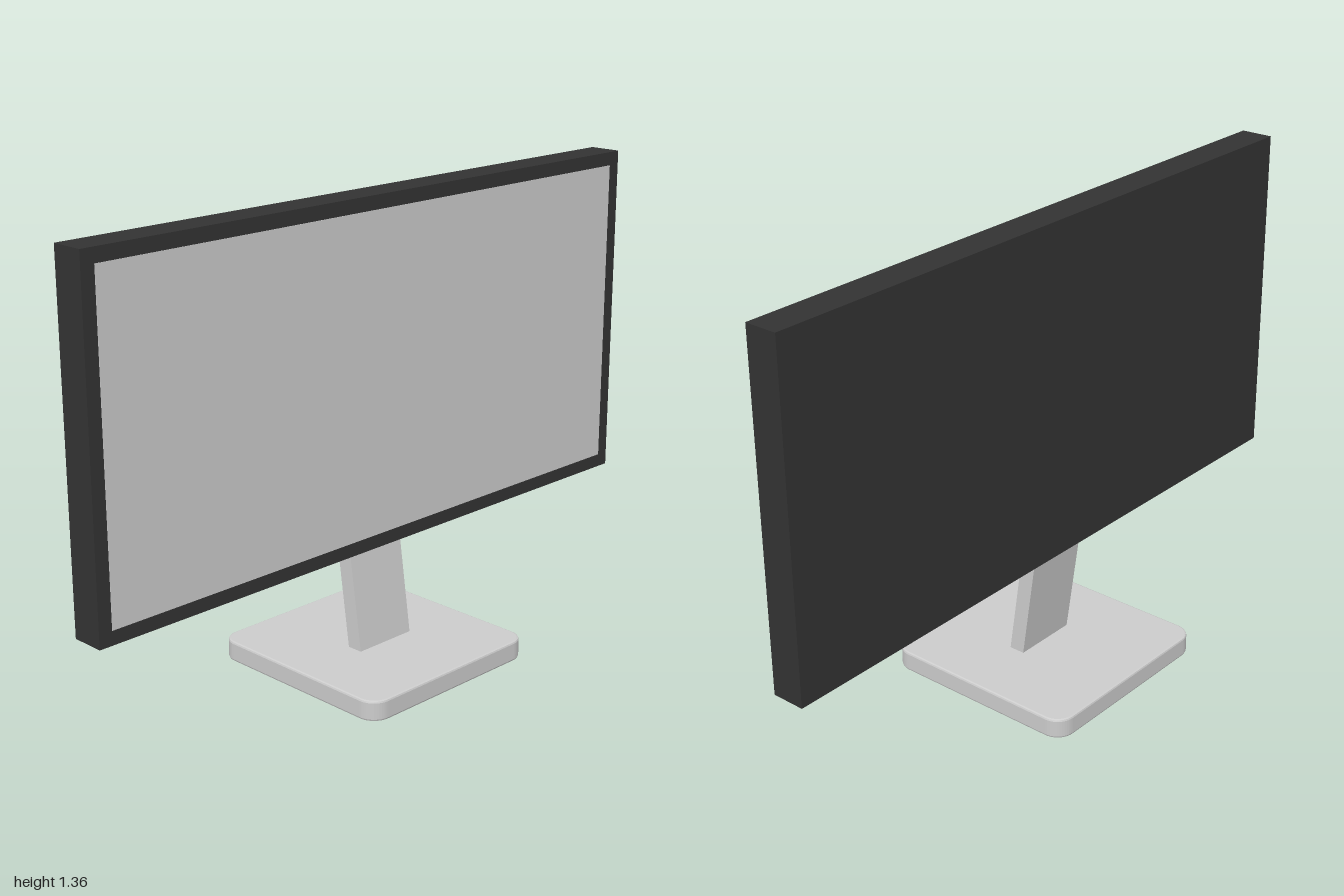
import * as THREE from 'three';

const grey = new THREE.MeshStandardMaterial({ color: 0xcccccc });
const dark = new THREE.MeshStandardMaterial({ color: 0x333333 });

function addMesh(parent, name, geometry, material) {
  const mesh = new THREE.Mesh(geometry, material);
  mesh.name = name;
  parent.add(mesh);
  return mesh;
}

// Rounded square centred on the origin
function roundedSquare(half, r) {
  const s = new THREE.Shape();
  const c = half - r;
  s.absarc(c, c, r, 0, Math.PI / 2);
  s.absarc(-c, c, r, Math.PI / 2, Math.PI);
  s.absarc(-c, -c, r, Math.PI, Math.PI * 1.5);
  s.absarc(c, -c, r, Math.PI * 1.5, Math.PI * 2);
  s.closePath();
  return s;
}

// Horizontal rounded slab from y0 to y1 with softened rims
function slab(half, radius, y0, y1, bevel) {
  const geometry = new THREE.ExtrudeGeometry(roundedSquare(half - bevel, radius - bevel), {
    depth: y1 - y0 - 2 * bevel,
    bevelEnabled: bevel > 0,
    bevelSize: bevel,
    bevelThickness: bevel,
    bevelSegments: 2,
    curveSegments: 6,
  });
  return geometry.rotateX(-Math.PI / 2).translate(0, y0 + bevel, 0);
}

export function createModel() {
  const group = new THREE.Group();
  group.name = 'monitor';

  // Stand foot with a dark pad underneath
  addMesh(group, 'base', slab(0.3125, 0.055, 0.003, 0.063, 0.006), grey);
  addMesh(group, 'basePad', slab(0.3, 0.045, 0, 0.005, 0), dark);

  // Neck leaning back into the panel: a box sheared along z
  const neck = new THREE.BoxGeometry(0.2, 0.34, 0.048);
  neck.translate(0, 0.22, 0);
  const p = neck.attributes.position;
  for (let i = 0; i < p.count; i++) p.setZ(i, p.getZ(i) + 0.024 - 0.143 * (p.getY(i) - 0.06));
  neck.computeVertexNormals();
  addMesh(group, 'neck', neck, grey);

  // Display housing and screen
  addMesh(group, 'housing', new THREE.BoxGeometry(2, 1, 0.098), dark).position.y = 0.862;
  addMesh(group, 'screen', new THREE.BoxGeometry(1.92, 0.92, 0.004), grey).position.set(0, 0.862, 0.048);

  return group;
}
